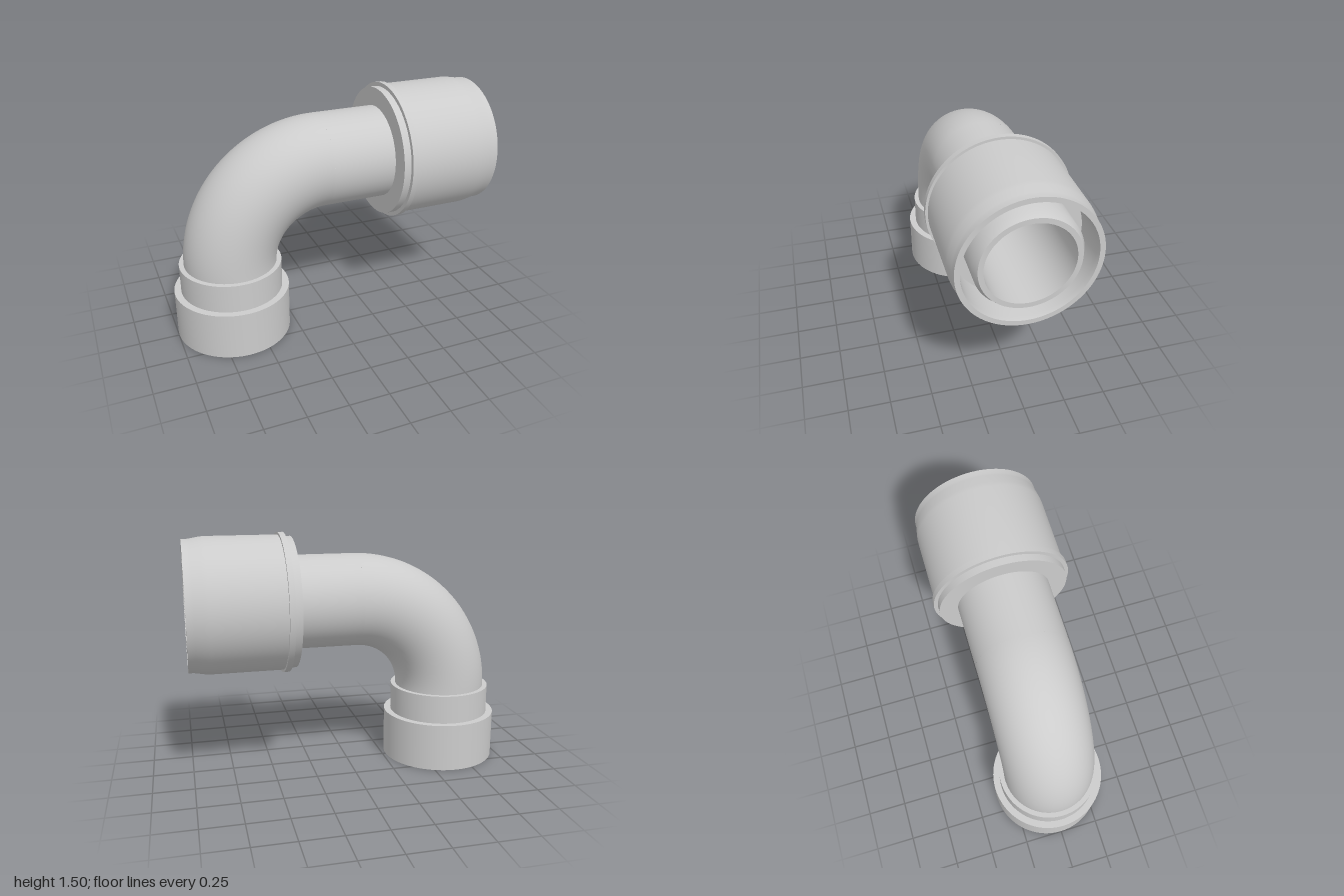
import * as THREE from 'three';
import { toCreasedNormals } from 'three/addons/utils/BufferGeometryUtils.js';

const AXIS_X = -0.635; // x of the upright leg
const AXIS_Y = 1.07;   // y of the level leg
const BEND = 0.59;     // bend radius of the pipe centre line
const OUTER = 0.29, BORE = 0.25;

const grey = new THREE.MeshStandardMaterial({ color: 0xcccccc });
const greyInside = new THREE.MeshStandardMaterial({ color: 0xcccccc, side: THREE.BackSide });

// Turned part from [radius, height] pairs, outside upwards and inside downwards
function turned(name, profile) {
  const points = profile.map(([r, h]) => new THREE.Vector2(r, h));
  const mesh = new THREE.Mesh(toCreasedNormals(new THREE.LatheGeometry(points, 96), 0.5), grey);
  mesh.name = name;
  return mesh;
}

// Quarter-circle pipe wall
function elbow(name, radius, material) {
  const mesh = new THREE.Mesh(new THREE.TorusGeometry(BEND, radius, 64, 48, Math.PI / 2), material);
  mesh.rotation.z = Math.PI / 2;
  mesh.position.set(AXIS_X + BEND, AXIS_Y - BEND, 0);
  mesh.name = name;
  return mesh;
}

export function createModel() {
  const model = new THREE.Group();
  model.name = 'pipeElbow';

  // Bend, outside and bore
  model.add(elbow('elbowOuter', OUTER, grey), elbow('elbowBore', BORE, greyInside));

  // Stepped socket at the foot, open below, with the pipe end inside
  const socket = turned('footSocket', [
    [0.35, 0], [0.363, 0], [0.363, 0.3], [0.32, 0.3], [0.32, 0.48], [BORE, 0.48],
    [BORE, 0.13], [0.28, 0.13], [0.28, 0.15], [0.35, 0.15], [0.35, 0],
  ]);
  socket.position.x = AXIS_X;
  model.add(socket);

  // Level leg, turned about the x axis
  const leg = new THREE.Group();
  leg.name = 'levelLeg';
  leg.rotation.z = -Math.PI / 2;
  leg.position.y = AXIS_Y;
  model.add(leg);

  // Straight pipe with a chamfered lip
  leg.add(turned('straightPipe', [
    [OUTER, AXIS_X + BEND], [OUTER, 0.7], [0.3, 0.7], [0.3, 0.96],
    [0.28, 1], [BORE, 1], [BORE, AXIS_X + BEND],
  ]));

  // Coupling sleeve with back flange, raised ring and narrowed mouth
  leg.add(turned('couplingSleeve', [
    [OUTER, 0.35], [0.405, 0.35], [0.405, 0.395], [0.43, 0.395], [0.43, 0.43], [0.415, 0.43],
    [0.415, 0.87], [0.412, 0.9], [0.402, 0.955], [0.4, 0.97], [0.4, 1],
    [0.37, 1], [0.365, 0.97], [0.365, 0.76], [OUTER, 0.76],
  ]));

  return model;
}
